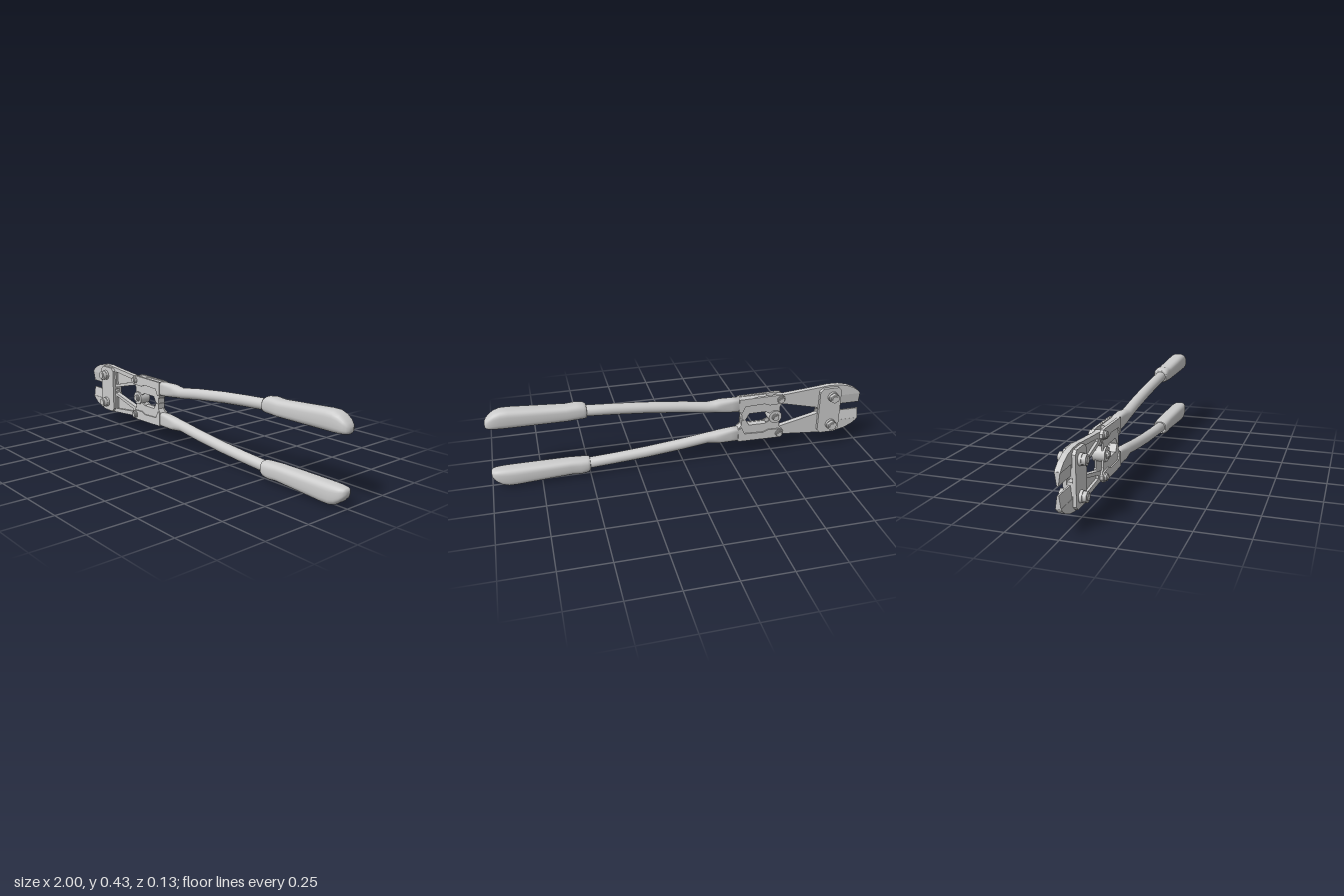
import * as THREE from 'three';

const AXIS = 0.218; // height of the mirror line between the two halves
const material = new THREE.MeshStandardMaterial({ color: 0xcccccc, side: THREE.DoubleSide });

function add(parent, name, geometry) {
  const mesh = new THREE.Mesh(geometry, material);
  mesh.name = name;
  parent.add(mesh);
  return mesh;
}

// Flat plate between z0 and z1; s = 1 for the upper half, -1 for the lower
function plate(points, z0, z1, s = 1, hole = null) {
  const place = ([x, d]) => new THREE.Vector2(x, AXIS + s * d);
  const shape = new THREE.Shape(points.map(place));
  if (hole) shape.holes.push(new THREE.Path(hole.map(place)));
  return new THREE.ExtrudeGeometry(shape, { depth: z1 - z0, bevelEnabled: false }).translate(0, 0, z0);
}

// Rounded-box cross-sections along x: [x, low, high, half depth, squareness]
function loft(sections, s, n = 28) {
  const pos = [], idx = [];
  const soft = (v, p) => Math.sign(v) * Math.abs(v) ** (2 / p);
  for (const [x, lo, hi, hz, p] of sections) {
    for (let j = 0; j < n; j++) {
      const t = (j / n) * Math.PI * 2;
      pos.push(x, AXIS + s * (lo + hi) / 2 + (hi - lo) / 2 * soft(Math.cos(t), p), hz * soft(Math.sin(t), p));
    }
  }
  const last = sections.length - 1;
  for (let i = 0; i < last; i++) {
    for (let j = 0; j < n; j++) {
      const k = (j + 1) % n, a = i * n, b = a + n;
      idx.push(a + j, a + k, b + j, a + k, b + k, b + j);
    }
  }
  // end caps
  for (const i of [0, last]) {
    const [x, lo, hi] = sections[i], c = pos.length / 3;
    pos.push(x, AXIS + s * (lo + hi) / 2, 0);
    for (let j = 0; j < n; j++) {
      const a = i * n + j, b = i * n + (j + 1) % n;
      idx.push(c, ...(i ? [a, b] : [b, a]));
    }
  }
  const g = new THREE.BufferGeometry();
  g.setAttribute('position', new THREE.Float32BufferAttribute(pos, 3));
  g.setIndex(idx);
  g.computeVertexNormals();
  return g;
}

function disc(r, depth, x, d, sides = 24) {
  return new THREE.CylinderGeometry(r, r, depth, sides).rotateX(Math.PI / 2).translate(x, AXIS + d, 0);
}

// Through bolt with collar, hex head and nut, and a rounded shank end
function bolt(parent, name, x, d, r, collarZ, headZ, endZ) {
  const g = new THREE.Group();
  g.name = name;
  add(g, 'collar', disc(r * 1.05, collarZ * 2, x, d));
  add(g, 'hexHead', disc(r, headZ * 2, x, d, 6));
  add(g, 'shankEnd', disc(r * 0.6, endZ * 2, x, d));
  parent.add(g);
}

const jawOutline = [
  [-1, 0.076], [-0.993, 0.088], [-0.965, 0.11], [-0.92, 0.13], [-0.87, 0.141], [-0.81, 0.143],
  [-0.757, 0.137], [-0.55, 0.119], [-0.525, 0.122], [-0.505, 0.112], [-0.5, 0.095], [-0.51, 0.08],
  [-0.55, 0.066], [-0.755, 0.017], [-0.755, 0.007], [-0.875, 0.007], [-0.885, 0.076],
];
const armPocket = [[-0.745, 0.113], [-0.575, 0.096], [-0.575, 0.08], [-0.745, 0.036]];

const bracketOutline = [
  [-0.555, 0.11], [-0.54, 0.126], [-0.515, 0.128], [-0.3, 0.124], [-0.3, 0.052], [-0.318, 0.03],
  [-0.318, 0.001], [-0.34, 0.001], [-0.36, 0.035], [-0.45, 0.035], [-0.475, 0.022], [-0.475, 0.0],
  [-0.532, 0.0], [-0.532, 0.06], [-0.555, 0.09],
];
const bracketCore = [
  [-0.46, 0.122], [-0.3, 0.122], [-0.3, 0.054], [-0.32, 0.03], [-0.32, 0.001], [-0.338, 0.001],
  [-0.358, 0.037], [-0.46, 0.037],
];
const bracketFlange = [
  [-0.555, 0.11], [-0.54, 0.126], [-0.515, 0.128], [-0.3, 0.125], [-0.3, 0.052], [-0.318, 0.045],
  [-0.335, 0.082], [-0.44, 0.086], [-0.47, 0.074], [-0.53, 0.076], [-0.555, 0.09],
];
const strapOutline = [
  [-0.88, 0.115], [-0.862, 0.133], [-0.775, 0.133], [-0.757, 0.115],
  [-0.757, -0.115], [-0.775, -0.133], [-0.862, -0.133], [-0.88, -0.115],
];

const tubeSections = [
  [-0.31, 0.05, 0.125, 0.026, 5], [-0.26, 0.052, 0.126, 0.027, 4], [-0.2, 0.057, 0.128, 0.032, 2.8],
  [-0.17, 0.06, 0.125, 0.031, 2.2], [-0.13, 0.063, 0.122, 0.029, 2], [0, 0.081, 0.14, 0.029, 2],
  [0.2, 0.103, 0.161, 0.03, 2], [0.36, 0.116, 0.173, 0.03, 2], [0.54, 0.127, 0.184, 0.03, 2],
];
const gripSections = [
  [0.5, 0.122, 0.187, 0.034, 2.4], [0.502, 0.12, 0.19, 0.037, 2.5], [0.515, 0.118, 0.198, 0.042, 2.6],
  [0.55, 0.117, 0.202, 0.043, 2.8], [0.6, 0.115, 0.197, 0.043, 3], [0.75, 0.115, 0.206, 0.045, 3],
  [0.88, 0.115, 0.2145, 0.046, 3], [0.92, 0.115, 0.214, 0.045, 3], [0.95, 0.116, 0.204, 0.042, 3],
  [0.975, 0.118, 0.186, 0.037, 3], [0.99, 0.121, 0.17, 0.029, 2.8], [0.998, 0.128, 0.156, 0.016, 2.5],
];

function half(s) {
  const g = new THREE.Group();
  g.name = s > 0 ? 'upperHalf' : 'lowerHalf';

  // jaw with a pocket sunk into the front of its arm
  add(g, 'jawBack', plate(jawOutline, -0.013, 0.001, s));
  add(g, 'jawFront', plate(jawOutline, 0.001, 0.014, s, armPocket));

  // cutting edge, a wedge that thins towards the other jaw
  const wedge = new THREE.Shape([[-0.013, 0.08], [0.013, 0.08], [0.004, 0.02], [-0.004, 0.02]]
    .map(([z, d]) => new THREE.Vector2(z, AXIS + s * d)));
  add(g, 'cuttingEdge', new THREE.ExtrudeGeometry(wedge, { depth: 0.13, bevelEnabled: false })
    .rotateY(Math.PI / 2).translate(-1, 0, 0));

  // bracket: core, two side plates and raised flanges
  add(g, 'bracketCore', plate(bracketCore, -0.014, 0.014, s));
  for (const f of [1, -1]) {
    const between = (a, b) => (f > 0 ? [a, b] : [-b, -a]);
    add(g, 'bracketSide', plate(bracketOutline, ...between(0.014, 0.022), s));
    add(g, 'bracketFlange', plate(bracketFlange, ...between(0.022, 0.029), s));
  }

  // handle
  add(g, 'handleTube', loft(tubeSections, s));
  add(g, 'handleGrip', loft(gripSections, s));

  // bolts
  bolt(g, 'jawBolt', -0.83, s * 0.083, 0.027, 0.044, 0.063, 0.067);
  bolt(g, 'armBolt', -0.53, s * 0.102, 0.019, 0.034, 0.042, 0.046);
  return g;
}

export function createModel() {
  const model = new THREE.Group();
  model.name = 'boltCutter';
  model.add(half(1), half(-1));

  // straps tying the two jaws together
  add(model, 'frontStrap', plate(strapOutline, 0.014, 0.03));
  add(model, 'backStrap', plate(strapOutline, -0.03, -0.013));

  // centre hinge of the handles
  add(model, 'hingeKnuckle', disc(0.036, 0.062, -0.505, 0, 32));
  bolt(model, 'hingeBolt', -0.505, 0, 0.019, 0.036, 0.043, 0.046);
  return model;
}
